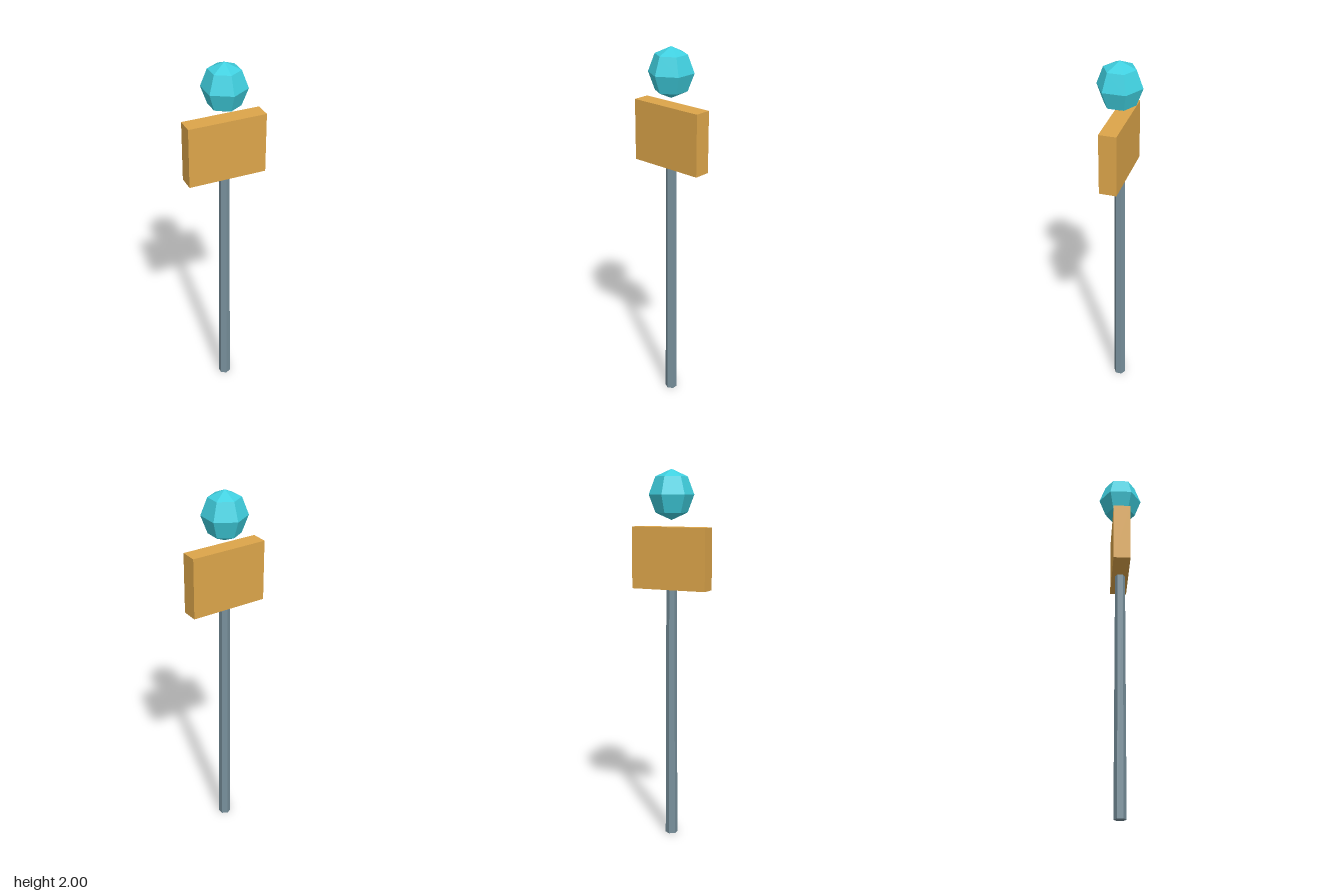
import * as THREE from 'three';

export function createModel() {
  const group = new THREE.Group();
  group.name = 'signPost';

  const add = (name, geometry, color, y) => {
    const material = new THREE.MeshStandardMaterial({ color, flatShading: true });
    const mesh = new THREE.Mesh(geometry, material);
    mesh.name = name;
    mesh.position.y = y;
    group.add(mesh);
    return mesh;
  };

  // Slightly tapered hexagonal pole, corners facing front and back
  const poleHeight = 1.37;
  add('pole', new THREE.CylinderGeometry(0.028, 0.033, poleHeight, 6), 0x78909c, poleHeight / 2);

  // Flat board resting on the pole
  add('signBoard', new THREE.BoxGeometry(0.426, 0.33, 0.092), 0xdca54a, 1.535);

  // Floating faceted orb, stretched a little upwards, corners facing front and back
  const orb = add('orb', new THREE.SphereGeometry(0.12, 6, 4), 0x40d0e0, 1.868);
  orb.rotation.y = Math.PI / 2;
  orb.scale.y = 1.1;

  return group;
}
